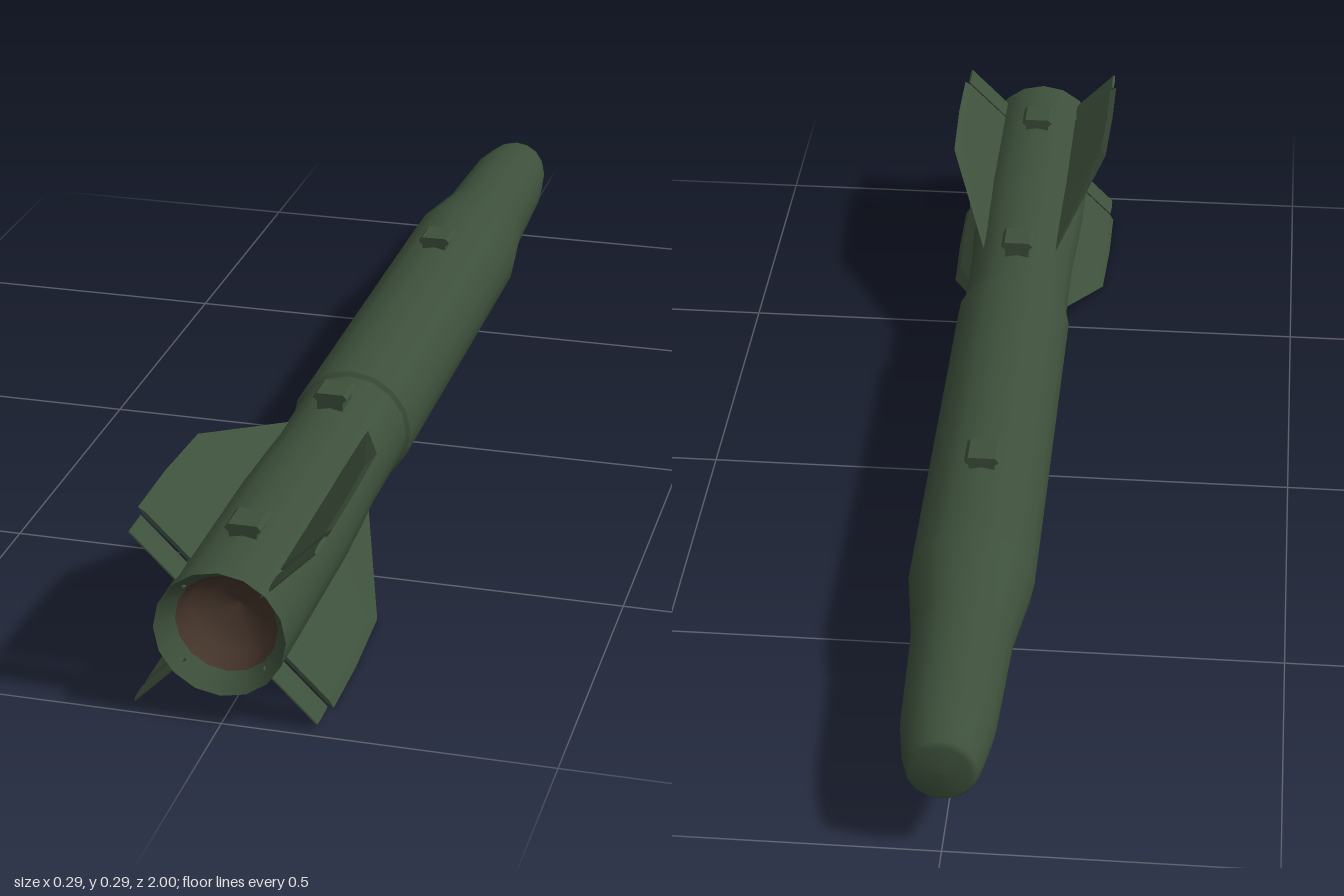
import * as THREE from 'three';
import { ConvexGeometry } from 'three/addons/geometries/ConvexGeometry.js';

const AXIS_Y = 0.147; // height of the body centreline

export function createModel() {
  const green = new THREE.MeshStandardMaterial({ color: 0x3d503b });
  green.name = 'olive green';
  const brown = new THREE.MeshStandardMaterial({ color: 0x44342a });
  brown.name = 'dark brown';

  const model = new THREE.Group();
  model.name = 'missile';
  const add = (name, geometry, material, parent = model) => {
    const mesh = new THREE.Mesh(geometry, material);
    mesh.name = name;
    parent.add(mesh);
    return mesh;
  };

  // Turned sections along z, given as [radius, z]; separate sections keep edges sharp
  const turned = (name, profile, material) => {
    const points = profile.map(([r, z]) => new THREE.Vector2(r, z));
    const geometry = new THREE.LatheGeometry(points, 16).rotateX(Math.PI / 2);
    add(name, geometry, material).position.y = AXIS_Y;
  };
  turned('nose', [[0, -1], [0.046, -0.998], [0.054, -0.99], [0.06, -0.97], [0.072, -0.89],
    [0.076, -0.78], [0.08, -0.67], [0.1, -0.52]], green);
  turned('mainBody', [[0.1, -0.52], [0.1, 0.27]], green);
  turned('bodyStep', [[0.1, 0.27], [0.093, 0.275]], green);
  turned('waist', [[0.093, 0.275], [0.093, 0.46]], green);
  turned('tailBody', [[0.093, 0.46], [0.097, 0.55], [0.1, 0.65], [0.1, 1]], green);
  turned('nozzleLip', [[0.1, 1], [0.078, 0.965]], green);
  turned('nozzleLiner', [[0.078, 0.965], [0.066, 0.93], [0.04, 0.905], [0, 0.895]], brown);

  // Bevelled fin: a thick inner panel tapering to a sharp outer edge, as [radius, z]
  const sharpEdge = [[0.08, 0.385], [0.2, 0.645], [0.207, 0.79], [0.207, 0.915]];
  const panel = [[0.08, 0.56], [0.188, 0.68], [0.194, 0.79], [0.194, 0.915], [0.08, 0.915]];
  const finPoints = sharpEdge.map(([r, z]) => new THREE.Vector3(r, 0, z));
  for (const [r, z] of panel) {
    for (const t of [-0.003, 0.003]) finPoints.push(new THREE.Vector3(r, t, z));
  }
  const finGeometry = new ConvexGeometry(finPoints);

  // Lens-shaped control surface behind each fin
  const rudderGeometry = new THREE.CylinderGeometry(0.029, 0.029, 0.115, 12)
    .scale(0.11, 1, 1)
    .rotateZ(-Math.PI / 2)
    .translate(0.1395, 0, 0.953);

  for (let i = 0; i < 4; i++) {
    const tail = new THREE.Group();
    tail.name = 'tailFin' + (i + 1);
    tail.position.y = AXIS_Y;
    tail.rotation.z = Math.PI / 4 + (i * Math.PI) / 2;
    add('fin', finGeometry, green, tail);
    add('rudder', rudderGeometry, green, tail);
    model.add(tail);
  }

  // Mounting lugs along the top
  const section = [[-0.021, 0.235], [0.021, 0.235], [0.021, 0.25], [0.028, 0.257],
    [0.022, 0.264], [-0.022, 0.264], [-0.028, 0.257], [-0.021, 0.25]];
  const lugShape = new THREE.Shape(section.map(([x, y]) => new THREE.Vector2(x, y)));
  const lugGeometry = new THREE.ExtrudeGeometry(lugShape, { depth: 0.056, bevelEnabled: false })
    .translate(0, 0, -0.028);
  for (const z of [-0.32, 0.375, 0.85]) add('mountingLug', lugGeometry, green).position.z = z;

  return model;
}
